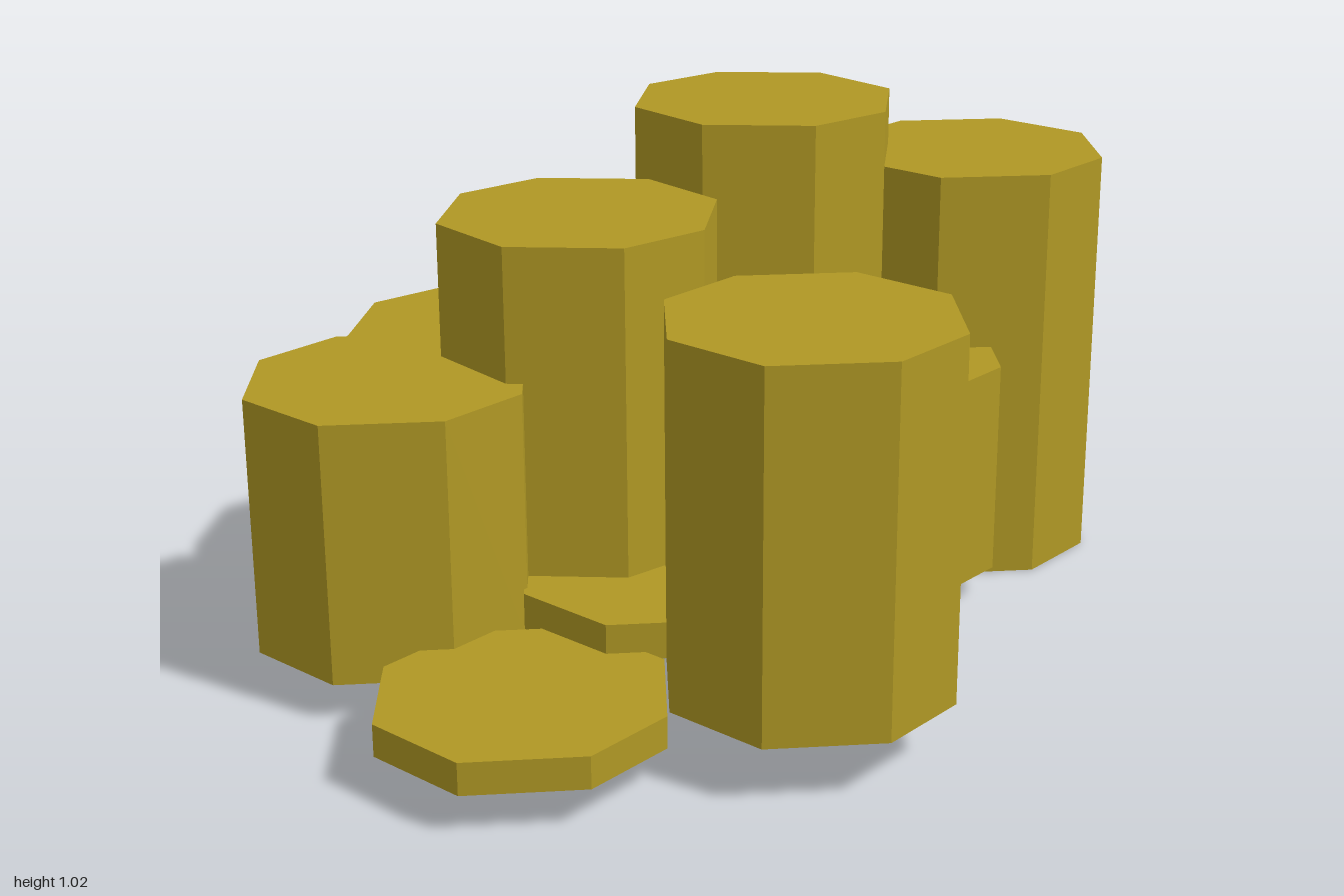
import * as THREE from 'three';

// Octagonal cross-section shared by every column
function octagon() {
  const a = 0.27, short = 0.10, long = 0.11;
  const points = [
    [a, -long], [a, long], [short, a], [-short, a],
    [-a, long], [-a, -long], [-short, -a], [short, -a],
  ];
  return new THREE.Shape(points.map(([x, y]) => new THREE.Vector2(x, y)));
}

// Columns: name, x, z, bottom, top, turn in degrees
const COLUMNS = [
  ['leftTallColumn', 0.73, 0.115, 0, 0.9, 0],
  ['leftFrontColumn', 0.35, 0.13, 0.07, 0.525, 0],
  ['leftCentreColumn', 0.395, -0.2, 0.15, 1.02, -8.5],
  ['leftBackColumn', 0.575, -0.387, 0.01, 0.33, -8.5],
  ['middleBackColumn', 0.14, -0.42, 0.06, 0.49, 0],
  ['rightBackColumn', -0.18, -0.49, 0.1, 0.59, -8.5],
  ['rightCentreColumn', -0.185, -0.2, 0.195, 0.885, -8.5],
  ['middleSlab', -0.245, 0.06, 0.13, 0.205, 0],
  ['frontColumn', -0.31, 0.5, 0.12, 0.84, 0],
  ['rightSideColumn', -0.59, -0.335, 0.08, 0.61, 0],
  ['rightSlab', -0.73, 0.16, 0.08, 0.145, 0],
];

export function createModel() {
  const group = new THREE.Group();
  group.name = 'basaltColumns';
  const stone = new THREE.MeshStandardMaterial({ color: 0xb09824, flatShading: true });
  const outline = octagon();

  for (const [name, x, z, bottom, top, turn] of COLUMNS) {
    const geometry = new THREE.ExtrudeGeometry(outline, { depth: top - bottom, bevelEnabled: false });
    geometry.rotateX(-Math.PI / 2);
    const column = new THREE.Mesh(geometry, stone);
    column.name = name;
    column.position.set(x, bottom, z);
    column.rotation.y = THREE.MathUtils.degToRad(turn);
    group.add(column);
  }
  return group;
}
